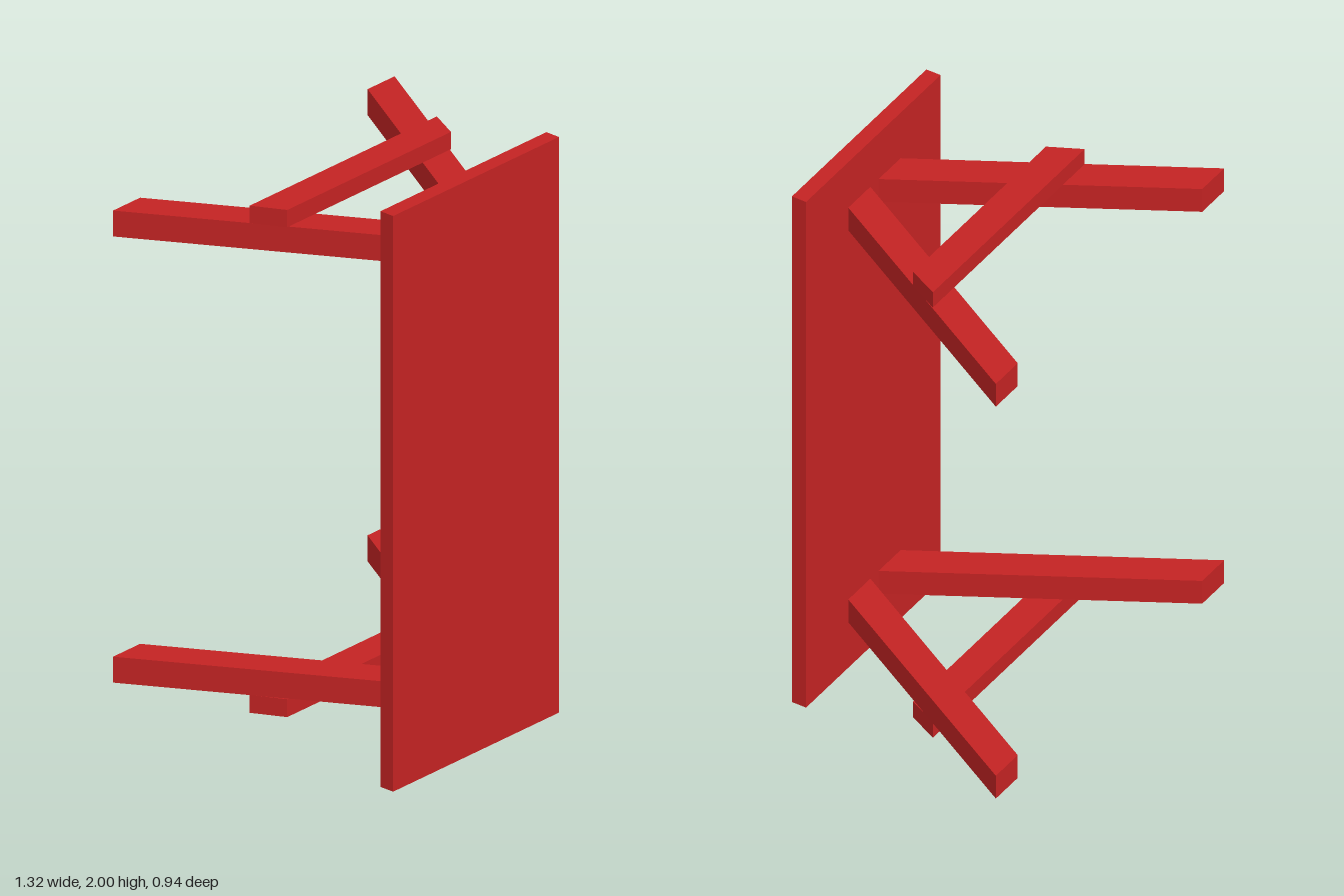
import * as THREE from 'three';

export function createModel() {
  const group = new THREE.Group();
  const red = new THREE.MeshStandardMaterial({ color: 0xc42323 });
  red.name = 'red paint';

  // Beam with a plan outline of [x, z] corners, raised from y0 to y1
  function beam(name, corners, y0, y1) {
    const shape = new THREE.Shape(corners.map(([x, z]) => new THREE.Vector2(x, -z)));
    const geometry = new THREE.ExtrudeGeometry(shape, { depth: y1 - y0, bevelEnabled: false });
    geometry.rotateX(-Math.PI / 2).translate(0, y0, 0);
    const mesh = new THREE.Mesh(geometry, red);
    mesh.name = name;
    group.add(mesh);
  }

  // Table top, standing on its short edge
  const top = new THREE.Mesh(new THREE.BoxGeometry(0.78, 2, 0.053), red);
  top.name = 'tableTop';
  top.position.set(0, 1, 0.441);
  group.add(top);

  // Each end has two splayed legs and a cross bar on the outer side
  const ends = [
    { name: 'lower', leg: [0.18, 0.27], bar: [0.118, 0.18] },
    { name: 'upper', leg: [1.73, 1.82], bar: [1.82, 1.88] },
  ];
  for (const { name, leg, bar } of ends) {
    beam(name + 'LeftLeg', [[0.017, 0.415], [0.145, 0.415], [0.66, -0.468], [0.533, -0.468]], ...leg);
    beam(name + 'RightLeg', [[-0.03, 0.415], [-0.158, 0.415], [-0.664, -0.468], [-0.537, -0.468]], ...leg);
    beam(name + 'CrossBar', [[-0.39, 0.021], [0.38, 0.021], [0.435, -0.088], [-0.445, -0.088]], ...bar);
  }
  return group;
}
